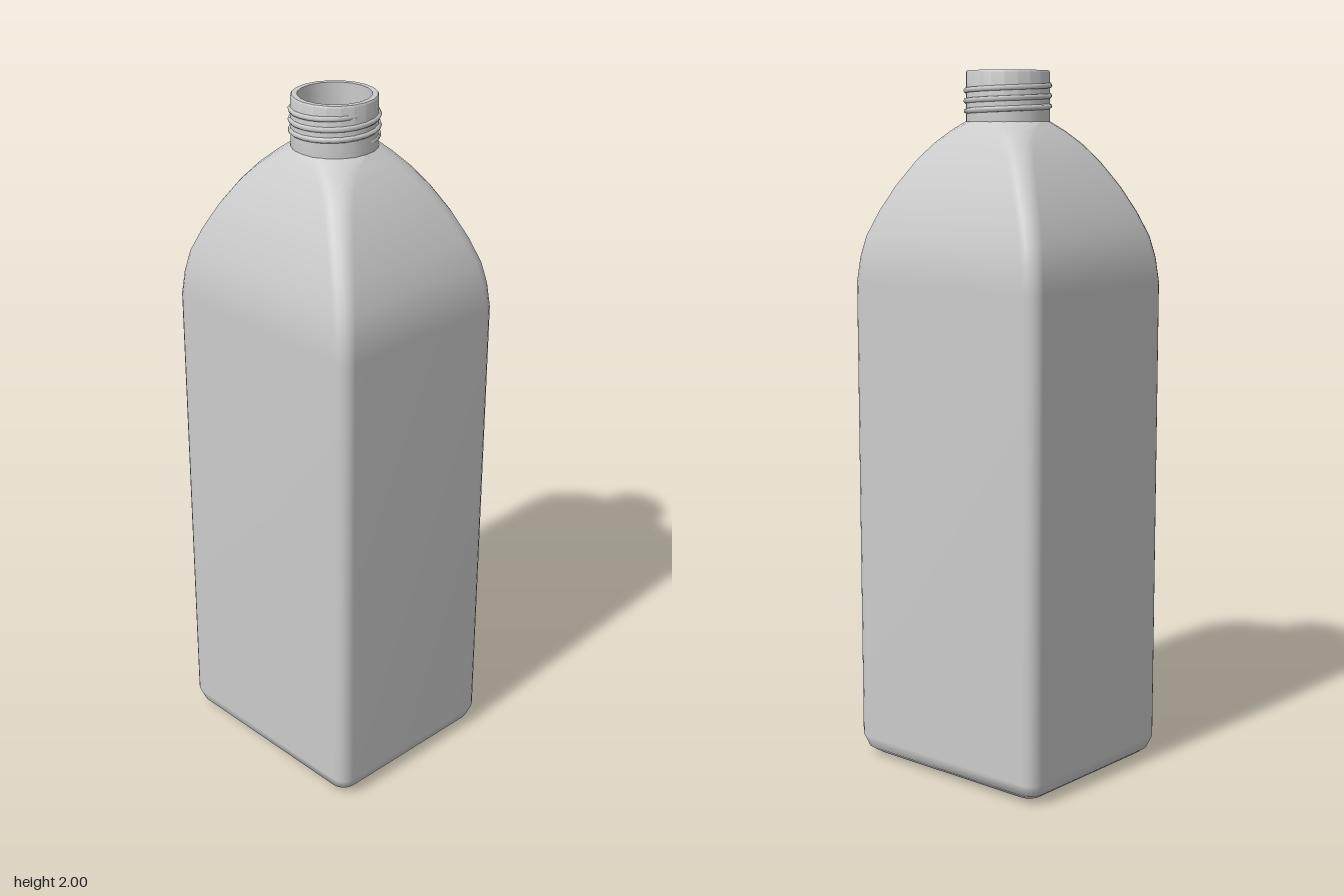
import * as THREE from 'three';
import { toCreasedNormals } from 'three/addons/utils/BufferGeometryUtils.js';

const material = new THREE.MeshStandardMaterial({ color: 0xcccccc });
const CORNER_SEGMENTS = 4;

// Rounded rectangle at height y: half width w, half depth d, corner radius r
function section([y, w, d, r]) {
  const ring = [];
  const signs = [[1, 1], [-1, 1], [-1, -1], [1, -1]];
  signs.forEach(([sx, sz], corner) => {
    for (let i = 0; i <= CORNER_SEGMENTS; i++) {
      const a = (corner + i / CORNER_SEGMENTS) * Math.PI / 2;
      ring.push([sx * (w - r) + r * Math.cos(a), y, sz * (d - r) + r * Math.sin(a)]);
    }
  });
  return ring;
}

// Skin the sections from bottom to top and close the underside
function loft(levels) {
  const rings = levels.map(section);
  const n = rings[0].length;
  const positions = rings.flat(2);
  const index = [];
  for (let j = 0; j < rings.length - 1; j++) {
    for (let i = 0; i < n; i++) {
      const a = j * n + i, b = j * n + (i + 1) % n;
      index.push(a, a + n, b, b, a + n, b + n);
    }
  }
  const centre = positions.length / 3;
  positions.push(0, levels[0][0], 0);
  for (let i = 0; i < n; i++) index.push(centre, i, (i + 1) % n);
  const geometry = new THREE.BufferGeometry();
  geometry.setAttribute('position', new THREE.Float32BufferAttribute(positions, 3));
  geometry.setIndex(index);
  geometry.computeVertexNormals();
  return geometry;
}

// Spiral whose ends sink into the neck wall
class ThreadCurve extends THREE.Curve {
  getPoint(t, target = new THREE.Vector3()) {
    const a = t * 3 * Math.PI * 2;
    const fade = Math.min(1, t / 0.05, (1 - t) / 0.05);
    const r = 0.109 + 0.008 * fade;
    return target.set(r * Math.cos(a), 1.885 + 0.085 * t, -r * Math.sin(a));
  }
}

export function createModel() {
  const bottle = new THREE.Group();
  bottle.name = 'bottle';
  const add = (name, geometry) => {
    const mesh = new THREE.Mesh(geometry, material);
    mesh.name = name;
    bottle.add(mesh);
  };

  // Body: [height, half width, half depth, corner radius]
  add('body', loft([
    [0, 0.28, 0.23, 0.03],
    [0.008, 0.305, 0.255, 0.035],
    [0.025, 0.328, 0.278, 0.04],
    [0.06, 0.34, 0.29, 0.04],
    [1.41, 0.34, 0.29, 0.04],
    [1.48, 0.332, 0.283, 0.04],
    [1.54, 0.319, 0.272, 0.042],
    [1.61, 0.29, 0.25, 0.045],
    [1.68, 0.254, 0.222, 0.048],
    [1.75, 0.21, 0.187, 0.052],
    [1.8, 0.172, 0.157, 0.062],
    [1.835, 0.141, 0.135, 0.085],
    [1.86, 0.118, 0.118, 0.116],
  ]));

  // Hollow neck with rim and inner floor
  const profile = [[0.118, 1.855], [0.118, 1.995], [0.115, 2], [0.1, 2], [0.1, 1.86], [0, 1.86]]
    .map(([r, y]) => new THREE.Vector2(r, y));
  add('neck', toCreasedNormals(new THREE.LatheGeometry(profile, 20), 0.6));

  // Screw thread
  add('thread', new THREE.TubeGeometry(new ThreadCurve(), 72, 0.008, 6));

  return bottle;
}
